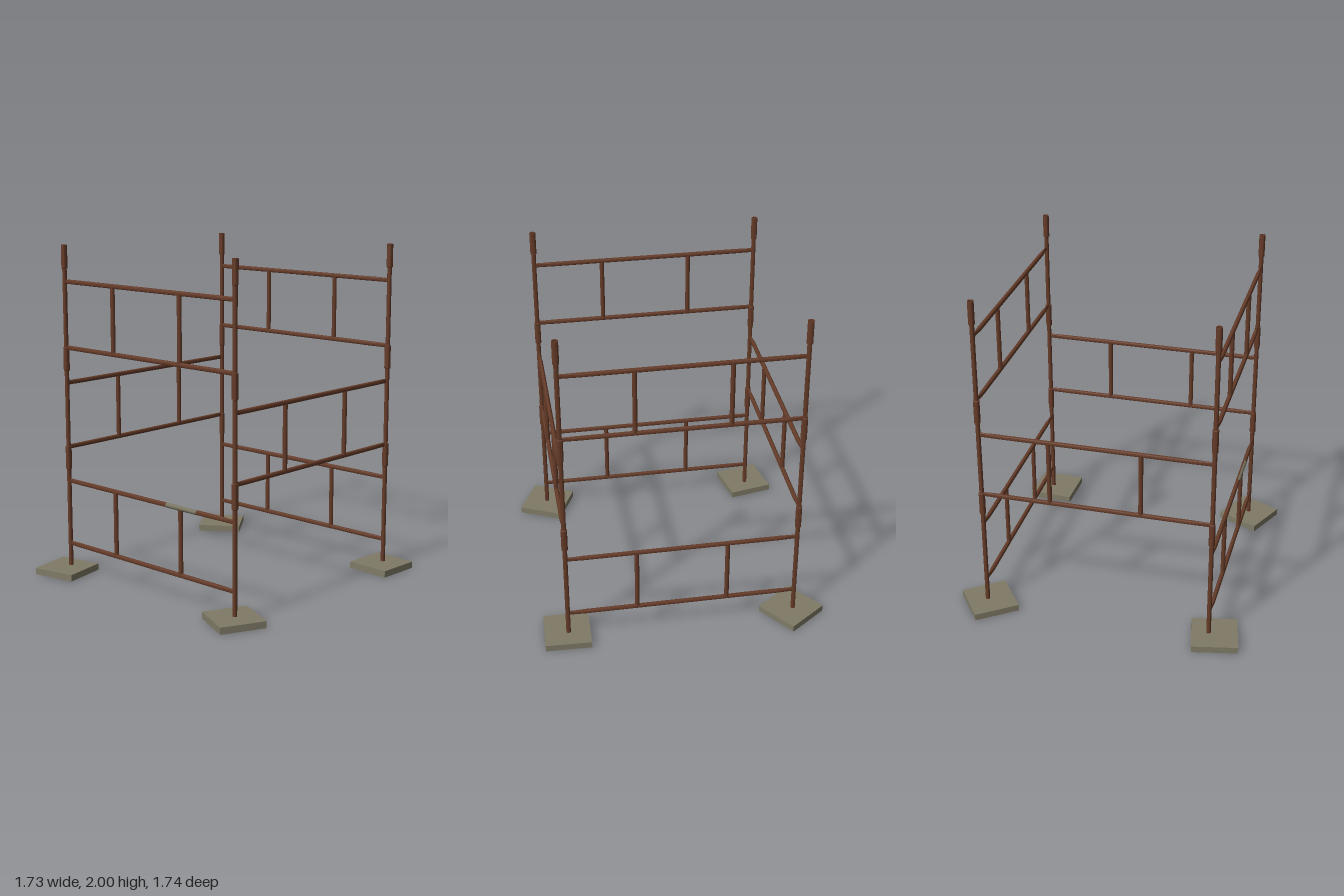
import * as THREE from 'three';
import { toCreasedNormals } from 'three/addons/utils/BufferGeometryUtils.js';

const R = 0.0135;            // pipe radius
const X = 0.682;             // posts sit at x = +-X
const ZF = 0.67, ZB = -0.693; // front and back post rows
const ZC = (ZF + ZB) / 2;

export function createModel() {
  const rust = new THREE.MeshStandardMaterial({ color: 0x653b28 });
  rust.name = 'rustyPipe';
  const concrete = new THREE.MeshStandardMaterial({ color: 0x807b67 });
  concrete.name = 'concrete';
  const worn = new THREE.MeshStandardMaterial({ color: 0x77735f, side: THREE.DoubleSide });
  worn.name = 'wornMetal';

  const model = new THREE.Group();
  model.name = 'scaffoldTower';

  function add(parent, name, geometry, material, x, y, z) {
    const mesh = new THREE.Mesh(geometry, material);
    mesh.name = name;
    mesh.position.set(x, y, z);
    parent.add(mesh);
    return mesh;
  }

  // Post: one turned profile with three coupling sleeves and an open top
  const S = 0.0185;
  const profile = [[0, 0.03], [R, 0.03]];
  for (const [low, high] of [[0.645, 0.79], [1.25, 1.395], [1.86, 2]]) {
    profile.push([R, low], [S, low + 0.003], [S, high - 0.003]);
    if (high < 2) profile.push([R, high]);
  }
  profile.push([S, 2], [0.0125, 2], [0.0125, 1.88], [0, 1.88]);
  const postGeometry = toCreasedNormals(
    new THREE.LatheGeometry(profile.map(([r, y]) => new THREE.Vector2(r, y)), 12), 0.7);

  // Rail along x whose ends are pinched flat where they meet the posts
  function railGeometry(length) {
    const g = new THREE.CylinderGeometry(R, R, length, 10, 5);
    const h = length / 2;
    const rows = [-h, -h + 0.035, -h + 0.095, h - 0.095, h - 0.035, h];
    const squash = [0.5, 0.55, 1, 1, 0.55, 0.5];
    const p = g.attributes.position;
    for (let i = 0; i < p.count; i++) {
      const row = Math.round((p.getY(i) / length + 0.5) * 5);
      p.setXYZ(i, p.getX(i), rows[row], p.getZ(i) * squash[row]);
    }
    g.rotateZ(Math.PI / 2);
    g.computeVertexNormals();
    return toCreasedNormals(g, 0.8);
  }

  // Guard panel: two rails with two uprights between them
  const uprightGeometry = new THREE.CylinderGeometry(R, R, 0.39, 10, 1, true);
  function panel(name, x, y, z, length, turn) {
    const group = new THREE.Group();
    group.name = name;
    group.position.set(x, y, z);
    group.rotation.y = turn;
    const rail = railGeometry(length);
    for (const side of [-1, 1]) {
      add(group, side < 0 ? 'lowerRail' : 'upperRail', rail, rust, 0, side * 0.197, 0);
      add(group, 'upright', uprightGeometry, rust, side * 0.268, 0, 0);
    }
    model.add(group);
    return group;
  }

  for (const [side, z] of [['front', ZF], ['back', ZB]]) {
    panel(side + 'LowerPanel', 0, 0.378, z, 2 * X - 0.02, 0);
    panel(side + 'UpperPanel', 0, 1.588, z, 2 * X - 0.02, 0);
  }
  for (const [side, x] of [['left', X], ['right', -X]]) {
    panel(side + 'Panel', x, 0.98, ZC, ZF - ZB - 0.02, Math.PI / 2);
  }

  // Posts and their casually turned footing slabs
  const slab = new THREE.BoxGeometry(0.272, 0.04, 0.272);
  const corners = [
    ['frontLeft', X, ZF, 0.68, 0.675, -0.438],
    ['frontRight', -X, ZF, -0.68, 0.705, 0.2],
    ['backLeft', X, ZB, 0.687, -0.67, -0.036],
    ['backRight', -X, ZB, -0.675, -0.68, 0.628],
  ];
  for (const [name, x, z, slabX, slabZ, turn] of corners) {
    add(model, name + 'Post', postGeometry, rust, x, 0, z);
    add(model, name + 'Slab', slab, concrete, slabX, 0.02, slabZ).rotation.y = turn;
  }

  // Worn patch on the front rail: a thin half shell facing front
  const patch = new THREE.CylinderGeometry(R + 0.001, R + 0.001, 0.24, 8, 1, true,
    -Math.PI / 2, Math.PI);
  patch.rotateZ(Math.PI / 2);
  add(model, 'wornPatch', patch, worn, 0.28, 0.575, ZF);

  return model;
}
